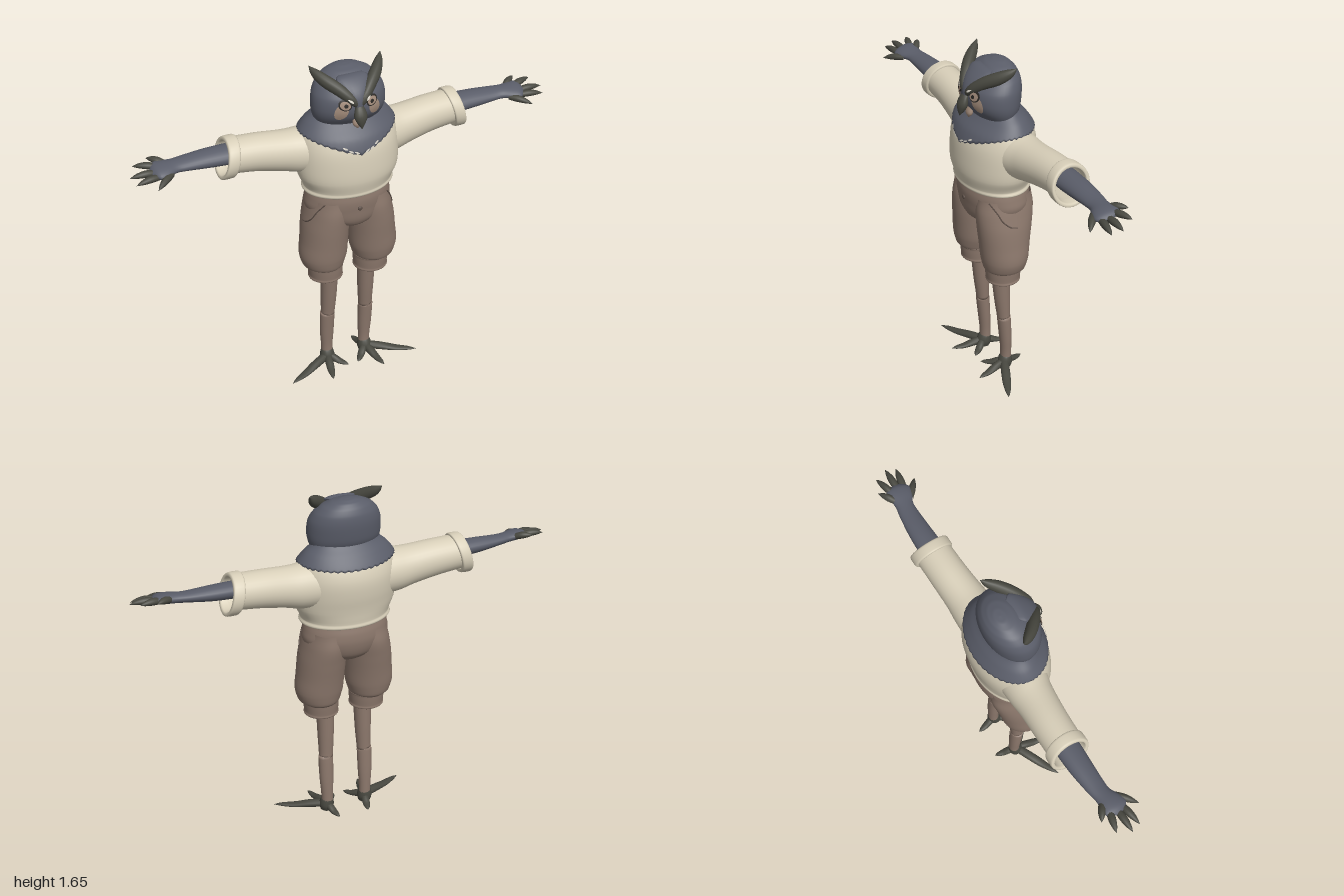
import * as THREE from 'three';
import { mergeVertices } from 'three/addons/utils/BufferGeometryUtils.js';

const paint = (name, color, side = THREE.FrontSide) => {
  const m = new THREE.MeshStandardMaterial({ color, side });
  m.name = name;
  return m;
};

// Grid surface from a point function; u runs around, v runs along
function surface(fn, nu, nv) {
  const pos = [], idx = [];
  for (let j = 0; j <= nv; j++)
    for (let i = 0; i <= nu; i++) pos.push(...fn((i / nu) * Math.PI * 2, j / nv));
  for (let j = 0; j < nv; j++)
    for (let i = 0; i < nu; i++) {
      const a = j * (nu + 1) + i, b = a + 1, c = a + nu + 1, d = c + 1;
      idx.push(a, c, b, b, c, d);
    }
  let g = new THREE.BufferGeometry();
  g.setAttribute('position', new THREE.Float32BufferAttribute(pos, 3));
  g.setIndex(idx);
  g = mergeVertices(g, 1e-5);
  g.computeVertexNormals();
  return g;
}

// Smooth interpolation through a table of rows
function sample(rows, t) {
  const n = rows.length - 1, i = Math.min(Math.floor(t), n - 1), f = t - i;
  const [p, q, r, s] = [i - 1, i, i + 1, i + 2].map(k => rows[Math.max(0, Math.min(n, k))]);
  return q.map((_, c) => {
    const m0 = (r[c] - p[c]) / 2, m1 = (s[c] - q[c]) / 2, d = r[c] - q[c];
    return q[c] + f * (m0 + f * (3 * d - 2 * m0 - m1 + f * (m0 + m1 - 2 * d)));
  });
}

// Upright body: rows are [y, half width, front z, back z, centre x]
function ring(rows, y, a, off = 0) {
  let i = 0;
  while (i < rows.length - 2 && y > rows[i + 1][0]) i++;
  const f = (y - rows[i][0]) / (rows[i + 1][0] - rows[i][0]);
  const [, w, zf, zb, cx = 0] = sample(rows, i + Math.max(0, Math.min(1, f)));
  const rz = Math.max(0, (zf - zb) / 2), rx = Math.max(0, w);
  return [cx + (rx + off) * Math.cos(a), y, (zf + zb) / 2 + (rz + off) * Math.sin(a), rx];
}
const body = (rows, nu = 40) => surface((a, v) => {
  const t = v * (rows.length - 1), i = Math.min(Math.floor(t), rows.length - 2);
  const y = rows[i][0] + (rows[i + 1][0] - rows[i][0]) * (t - i);
  return ring(rows, y, a).slice(0, 3);
}, nu, (rows.length - 1) * 5);

// Limb: rows are [x, y, z, sideways radius, upward radius]
const limb = (rows, up = [0, 1, 0], nu = 16, per = 4) => surface((a, v) => {
  const n = rows.length - 1, t = v * n, e = 0.02;
  const s = sample(rows, t);
  const p0 = sample(rows, Math.max(0, t - e)), p1 = sample(rows, Math.min(n, t + e));
  const dir = new THREE.Vector3(p1[0] - p0[0], p1[1] - p0[1], p1[2] - p0[2]).normalize();
  const b = dir.clone().cross(new THREE.Vector3(...up)).normalize();
  const m = b.clone().cross(dir);
  return new THREE.Vector3(s[0], s[1], s[2])
    .addScaledVector(b, Math.max(0, s[3]) * Math.cos(a))
    .addScaledVector(m, Math.max(0, s[4]) * Math.sin(a)).toArray();
}, nu, (rows.length - 1) * per);

// Thin painted patch lying on the front of an upright body
const patch = (rows, x, y, rx, ry, rot, off) => surface((a, v) => {
  const lx = rx * v * Math.cos(a), ly = ry * v * Math.sin(a);
  const px = x + lx * Math.cos(rot) - ly * Math.sin(rot);
  const py = y + lx * Math.sin(rot) + ly * Math.cos(rot);
  const w = ring(rows, py, 0)[3];
  return [px, py, ring(rows, py, Math.acos(Math.max(-1, Math.min(1, px / w))))[2] + off];
}, 20, 4);

function mirrored(g) {
  const m = g.clone().scale(-1, 1, 1), ix = m.index;
  for (let i = 0; i < ix.count; i += 3) {
    const t = ix.getX(i);
    ix.setX(i, ix.getX(i + 1));
    ix.setX(i + 1, t);
  }
  return m;
}

export function createModel() {
  const feather = paint('slateFeathers', 0x5a5d69, THREE.DoubleSide);
  const claw = paint('darkClaw', 0x484840);
  const cream = paint('creamKnit', 0xd8cfb9, THREE.DoubleSide);
  const brown = paint('brownCloth', 0x8c786c, THREE.DoubleSide);
  const seam = paint('darkSeam', 0x5f5149);
  const tan = paint('tanFace', 0xa38c7b);
  const pale = paint('paleSpots', 0xd0cbc0);
  const black = paint('pupilBlack', 0x2b2825);

  const model = new THREE.Group();
  const add = (name, geo, mat) => {
    const mesh = new THREE.Mesh(geo, mat);
    mesh.name = name;
    model.add(mesh);
  };
  const pair = (name, geo, mat) => {
    add(name + 'Left', geo, mat);
    add(name + 'Right', mirrored(geo), mat);
  };

  // Sweater
  const torso = [
    [1.025, 0, 0, 0], [1.032, 0.2, 0.15, -0.14], [1.06, 0.21, 0.165, -0.15], [1.12, 0.236, 0.177, -0.157],
    [1.2, 0.243, 0.175, -0.17], [1.27, 0.24, 0.165, -0.172], [1.33, 0.225, 0.14, -0.155],
    [1.38, 0.19, 0.095, -0.12], [1.43, 0.14, 0.06, -0.08]];
  add('sweaterBody', body(torso, 48), cream);
  pair('sleeve', limb([
    [0.1, 1.235, -0.01, 0.12, 0.11], [0.22, 1.238, -0.025, 0.1, 0.105], [0.3, 1.248, -0.03, 0.09, 0.094],
    [0.42, 1.265, -0.038, 0.085, 0.086], [0.55, 1.275, -0.042, 0.083, 0.08]], [0, 1, 0], 32), cream);
  const soft = x => Math.sign(x) * Math.sqrt(Math.abs(x));
  pair('sleeveCuff', surface((a, v) => {
    const k = v * Math.PI * 2, r = 0.086 + 0.01 * soft(Math.sin(k)), up = r * Math.sin(a);
    return [0.55 - 0.027 * soft(Math.cos(k)) - 0.22 * up, 1.268 + up, -0.043 + r * Math.cos(a)];
  }, 36, 16), cream);

  // Feathered cape with a ragged hem, pointed in front
  add('cape', surface((a, v) => {
    const s = Math.sin(a), c = Math.abs(Math.cos(a));
    const jag = 0.006 * Math.abs(((a * 44 / Math.PI) % 2) - 1);
    const hem = 1.338 - (s > 0 ? 0.078 * (1 - c) : 0.012 * s * s) - jag;
    return ring(torso, hem + (1.43 - hem) * v, a, v === 0 ? -0.002 : 0.01).slice(0, 3);
  }, 176, 16), feather);
  for (const [x, y, r] of [[0.025, 1.281, 0.012], [0.05, 1.288, 0.012], [0.075, 1.303, 0.011]])
    pair('capeSpot', patch(torso, x, y, r, 0.004, 0.45, 0.016), pale);

  // Head
  const head = [
    [1.34, 0.13, 0.07, -0.06], [1.39, 0.155, 0.1, -0.08], [1.43, 0.169, 0.128, -0.1], [1.47, 0.172, 0.138, -0.108],
    [1.52, 0.166, 0.13, -0.112], [1.56, 0.146, 0.1, -0.108], [1.59, 0.115, 0.065, -0.095],
    [1.61, 0.075, 0.03, -0.076], [1.62, 0.035, -0.005, -0.055], [1.622, 0, -0.03, -0.03]];
  add('head', body(head, 48), feather);
  pair('browHorn', limb([
    [0, 1.49, 0.135, 0.012, 0.012], [0.03, 1.522, 0.128, 0.02, 0.022], [0.075, 1.563, 0.09, 0.026, 0.028],
    [0.12, 1.594, 0.045, 0.026, 0.029], [0.152, 1.622, 0.005, 0.017, 0.02], [0.17, 1.648, -0.02, 0, 0]]), claw);
  add('foreheadFeathers', limb([
    [0, 1.47, 0.14, 0.012, 0.012], [0, 1.52, 0.132, 0.03, 0.016], [0, 1.56, 0.105, 0.055, 0.016],
    [0, 1.592, 0.06, 0.075, 0.014], [0, 1.602, 0.03, 0.05, 0]], [0, 0, 1]), feather);

  // Face
  pair('cheek', patch(head, 0.078, 1.468, 0.028, 0.04, 0.35, 0.003), tan);
  pair('eyeRim', patch(head, 0.063, 1.503, 0.029, 0.025, 0.3, 0.006), black);
  pair('eye', patch(head, 0.063, 1.503, 0.023, 0.019, 0.3, 0.009), tan);
  pair('pupil', patch(head, 0.061, 1.503, 0.009, 0.009, 0, 0.012), black);
  pair('browSpot', patch(head, 0.042, 1.527, 0.014, 0.005, 0.7, 0.024), pale);
  add('beak', limb([
    [0, 1.505, 0.125, 0.008, 0.008], [0, 1.478, 0.145, 0.024, 0.016], [0, 1.447, 0.155, 0.03, 0.022],
    [0, 1.418, 0.163, 0.018, 0.015], [0, 1.392, 0.17, 0, 0]], [0, 0, 1]), claw);
  add('lowerBeak', limb([
    [0, 1.425, 0.115, 0.02, 0.012], [0, 1.395, 0.122, 0.022, 0.014], [0, 1.372, 0.125, 0, 0]], [0, 0, 1]), tan);

  // Arms and hands
  pair('arm', limb([
    [0.42, 1.285, -0.04, 0.055, 0.038], [0.55, 1.286, -0.04, 0.057, 0.038], [0.65, 1.288, -0.04, 0.053, 0.034],
    [0.75, 1.291, -0.036, 0.045, 0.025], [0.8, 1.293, -0.03, 0.042, 0.023], [0.85, 1.295, -0.02, 0.056, 0.023],
    [0.885, 1.295, -0.015, 0.052, 0.018], [0.91, 1.295, -0.012, 0, 0]], [0, 1, 0.2], 24), feather);
  const tilt = z => 1.29 - 0.28 * (z + 0.02);
  for (const [x0, z0, x1, z1] of [[0.83, -0.055, 0.9, -0.105], [0.865, -0.045, 0.97, -0.076],
    [0.88, -0.015, 1.0, -0.012], [0.87, 0.012, 0.985, 0.034], [0.82, 0.012, 0.905, 0.085]]) {
    const at = (f, r) => [x0 + (x1 - x0) * f, tilt(z0 + (z1 - z0) * f) + 0.006 * Math.sin(f * 3), z0 + (z1 - z0) * f, r, r * 0.95];
    pair('finger', limb([at(0, 0.014), at(0.4, 0.017), at(0.75, 0.011), at(1, 0)], [0, 1, 0], 10), claw);
  }

  // Knee breeches
  const hips = [[0.83, 0, 0.01, 0.01], [0.85, 0.09, 0.11, -0.09], [0.89, 0.175, 0.14, -0.13],
    [0.95, 0.205, 0.15, -0.148], [1.0, 0.2, 0.155, -0.148], [1.045, 0.19, 0.15, -0.138]];
  const leg = [[0.6, 0.075, 0.09, -0.065, 0.118], [0.625, 0.098, 0.113, -0.086, 0.126], [0.68, 0.113, 0.125, -0.098, 0.126],
    [0.76, 0.112, 0.132, -0.11, 0.12], [0.85, 0.109, 0.14, -0.126, 0.113], [0.93, 0.1, 0.143, -0.138, 0.105],
    [1.0, 0.09, 0.135, -0.13, 0.1]];
  add('breechesHips', body(hips, 48), brown);
  pair('breechesLeg', body(leg, 36), brown);
  pair('breechesCuff', body([[0.536, 0, 0.01, 0.01, 0.115], [0.541, 0.076, 0.088, -0.06, 0.115],
    [0.56, 0.08, 0.095, -0.066, 0.115], [0.61, 0.084, 0.1, -0.072, 0.116], [0.622, 0.084, 0.1, -0.072, 0.117],
    [0.628, 0.06, 0.07, -0.05, 0.12]], 36), brown);
  const hem = [[1.0, 0.95], [0.95, 0.62], [0.91, 0.45], [0.88, 0.2], [0.87, -0.05]].map(([y, a]) => {
    const p = ring(hips, y, a, 0.001), q = ring(leg, y, a, 0.001);
    return [...(p[0] > q[0] ? p : q).slice(0, 3), 0.003, 0.003];
  });
  pair('pocketSeam', limb(hem, [1, 0, 0], 6), seam);
  const button = new THREE.SphereGeometry(0.011, 14, 10).scale(1, 1, 0.5).translate(0, 0.968, 0.154);
  add('button', button, seam);

  // Shins and clawed feet
  pair('shin', limb([
    [0.098, 0.04, -0.014, 0.028, 0.026], [0.099, 0.1, -0.014, 0.029, 0.026], [0.1, 0.18, -0.01, 0.034, 0.029],
    [0.1, 0.29, -0.002, 0.036, 0.032], [0.098, 0.31, 0, 0.034, 0.031], [0.096, 0.42, 0.007, 0.039, 0.039],
    [0.095, 0.58, 0.016, 0.043, 0.046]], [0, 0, 1], 20), brown);
  pair('ankle', limb([
    [0.1, 0.004, -0.005, 0.03, 0.03], [0.1, 0.03, -0.008, 0.036, 0.036], [0.099, 0.06, -0.013, 0.03, 0.028],
    [0.099, 0.072, -0.014, 0.02, 0.02]], [0, 0, 1]), claw);
  for (const [x, z, r] of [[0.33, 0.108, 0.02], [0.135, 0.155, 0.018], [0.025, 0.085, 0.017], [0.075, -0.115, 0.017]]) {
    const at = (f, y, k, h) => [0.1 + (x - 0.1) * f, y, -0.005 + (z + 0.005) * f, r * k, h];
    pair('toe', limb([at(0, 0.03, 1, 0.02), at(0.3, 0.024, 1.1, 0.018), at(0.6, 0.014, 1, 0.011),
      at(0.85, 0.012, 0.6, 0.007), at(1, 0.01, 0, 0)], [0, 1, 0], 12), claw);
  }
  return model;
}
